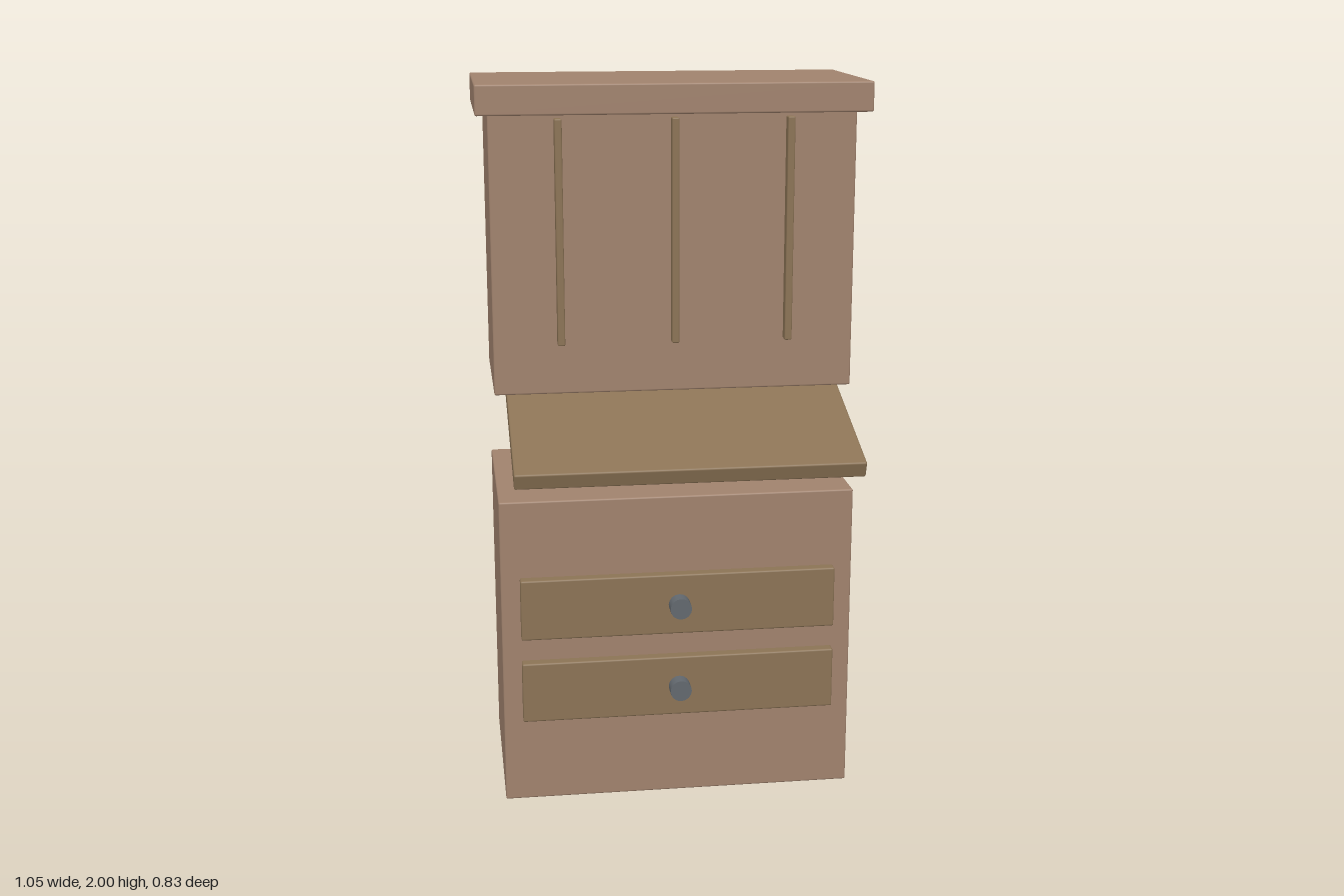
import * as THREE from 'three';
import { RoundedBoxGeometry } from 'three/addons/geometries/RoundedBoxGeometry.js';

const wood = new THREE.MeshStandardMaterial({ color: 0xa0826d });
const panelWood = new THREE.MeshStandardMaterial({ color: 0x8b7355 });
const metal = new THREE.MeshStandardMaterial({ color: 0x62686e });

// Box with slightly softened edges, given by its extents on each axis
function block(name, material, [x0, x1], [y0, y1], [z0, z1], bevel = 0.005) {
  const geometry = new RoundedBoxGeometry(x1 - x0, y1 - y0, z1 - z0, 2, bevel);
  const mesh = new THREE.Mesh(geometry, material);
  mesh.name = name;
  mesh.position.set((x0 + x1) / 2, (y0 + y1) / 2, (z0 + z1) / 2);
  return mesh;
}

export function createModel() {
  const model = new THREE.Group();
  model.name = 'writingDesk';

  // Lower chest, upper cabinet and overhanging top
  model.add(
    block('lowerChest', wood, [-0.493, 0.493], [0, 0.885], [-0.415, 0.132]),
    block('upperCabinet', wood, [-0.493, 0.493], [1.167, 1.925], [-0.38, 0.058]),
    block('cornice', wood, [-0.526, 0.526], [1.92, 2], [-0.392, 0.109])
  );

  // Sloping writing board that runs through the cabinet, its back edge just showing
  const board = block('writingBoard', panelWood, [-0.46, 0.46], [-0.0225, 0.0225], [-0.4155, 0.4155]);
  board.position.set(0, 1.1534, 0.0146);
  board.rotation.x = 0.32;
  model.add(board);

  // Vertical strips on the cabinet front
  for (const x of [-0.31, 0, 0.31]) {
    model.add(block('cabinetStrip', panelWood, [x - 0.01, x + 0.01], [1.305, 1.909], [0.05, 0.087], 0.004));
  }

  // Drawers, each with a round knob
  for (const y of [0.335, 0.579]) {
    const drawer = new THREE.Group();
    drawer.name = 'drawer';
    drawer.add(block('drawerFront', panelWood, [-0.44, 0.44], [y - 0.087, y + 0.087], [0.12, 0.162]));
    const knob = new THREE.Mesh(new THREE.CylinderGeometry(0.03, 0.03, 0.045, 16), metal);
    knob.name = 'knob';
    knob.rotation.x = Math.PI / 2;
    knob.position.set(0, y, 0.18);
    drawer.add(knob);
    model.add(drawer);
  }

  return model;
}
